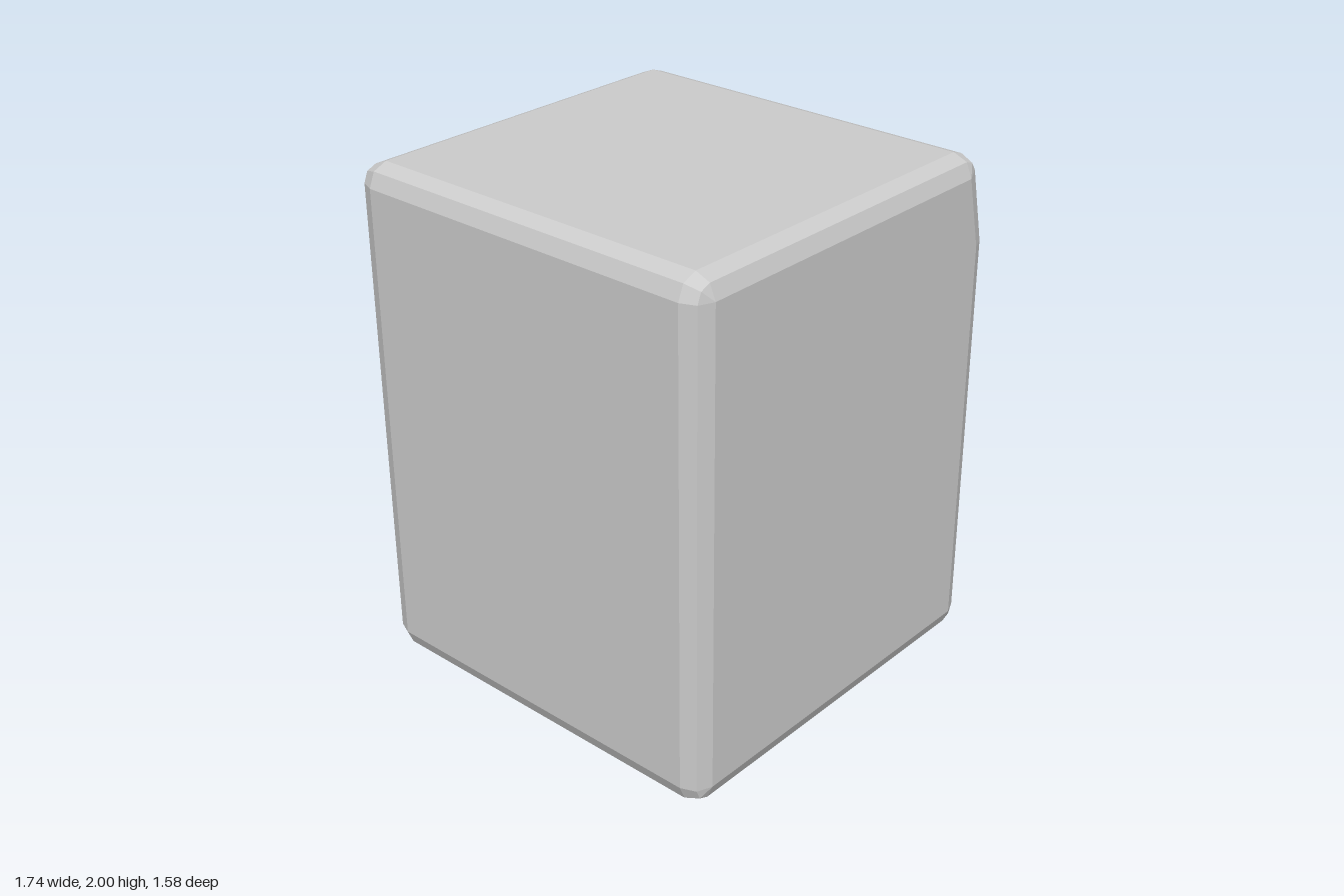
import * as THREE from 'three';
import { ConvexGeometry } from 'three/addons/geometries/ConvexGeometry.js';

const SLOPE = 0.23;                 // lean of the control panel
const TILT = Math.atan(SLOPE);
const KNEE = 1.645;                 // height where the front starts to lean
const FRONT = 0.72;
const R = 0.08;                     // edge rounding

const material = (color) =>
  new THREE.MeshStandardMaterial({ color, flatShading: true, side: THREE.DoubleSide });

function addMesh(parent, name, geometry, mat) {
  const mesh = new THREE.Mesh(geometry, mat);
  mesh.name = name;
  parent.add(mesh);
  return mesh;
}

// Cabinet: hull of two-step rounded corners
function cabinetGeometry() {
  const corners = [                 // centre x, centre y, first and last normal angle
    [-0.79, R, Math.PI, Math.PI * 1.5],
    [0.64, R, -Math.PI / 2, 0],
    [0.64, KNEE, 0, 0],
    [0.575, 2 - R, TILT, Math.PI / 2],
    [-0.79, 2 - R, Math.PI / 2, Math.PI],
  ];
  const points = [];
  for (const side of [-1, 1]) {
    for (const [cx, cy, a0, a1] of corners) {
      for (const t of a0 === a1 ? [0] : [0, 0.5, 1]) {
        const a = a0 + (a1 - a0) * t;
        for (const lat of [0, Math.PI / 4]) {
          const r = R * Math.cos(lat);
          points.push(new THREE.Vector3(
            cx + r * Math.cos(a), cy + r * Math.sin(a), side * (0.71 + R * Math.sin(lat))));
        }
      }
      points.push(new THREE.Vector3(cx, cy, side * 0.79));
    }
  }
  return new ConvexGeometry(points);
}

// Put a part on the leaning panel, with its local x pointing outwards
function onPanel(mesh, y, z) {
  mesh.position.set(FRONT - SLOPE * (y - KNEE), y, z);
  mesh.rotation.z = TILT;
}

// Sixteen-sided turned part on the door axis; pairs are radius, x
function turned(pairs) {
  const g = new THREE.LatheGeometry(pairs.map(([r, x]) => new THREE.Vector2(r, x)), 16);
  return g.rotateZ(-Math.PI / 2).translate(0, 0.865, 0);
}

export function createModel() {
  const model = new THREE.Group();
  model.name = 'washingMachine';
  const grey = material(0xcccccc);
  const dark = material(0x484848);
  const black = material(0x101010);
  const blue = material(0x78c5e6);

  addMesh(model, 'cabinet', cabinetGeometry(), grey);

  // Detergent drawer: a plate with sloping edges
  const plate = new THREE.BoxGeometry(0.03, 0.285, 0.52);
  const p = plate.attributes.position;
  for (let i = 0; i < p.count; i++) {
    if (p.getX(i) > 0) {
      p.setY(i, p.getY(i) - Math.sign(p.getY(i)) * 0.022);
      p.setZ(i, p.getZ(i) - Math.sign(p.getZ(i)) * 0.022);
    }
  }
  onPanel(addMesh(model, 'detergentDrawer', plate, grey), 1.785, 0.46);

  // Display and programme knob
  onPanel(addMesh(model, 'display', new THREE.BoxGeometry(0.012, 0.197, 0.405), black), 1.786, -0.053);
  const knob = new THREE.CylinderGeometry(0.05, 0.054, 0.07, 8)
    .rotateZ(-Math.PI / 2).translate(0.02, 0, 0);
  onPanel(addMesh(model, 'knob', knob, black), 1.785, -0.37);

  // Door: rim, seal and glass
  const door = new THREE.Group();
  door.name = 'door';
  model.add(door);
  addMesh(door, 'doorRim', turned([
    [0.49, 0.7], [0.49, 0.85], [0.475, 0.865], [0.405, 0.865], [0.38, 0.85], [0.357, 0.82], [0.357, 0.73],
  ]), grey);
  addMesh(door, 'doorSeal', turned([[0.36, 0.825], [0.325, 0.805], [0.288, 0.755]]), dark);
  addMesh(door, 'doorGlass', turned([[0.292, 0.76], [0, 0.76]]), blue);

  return model;
}
